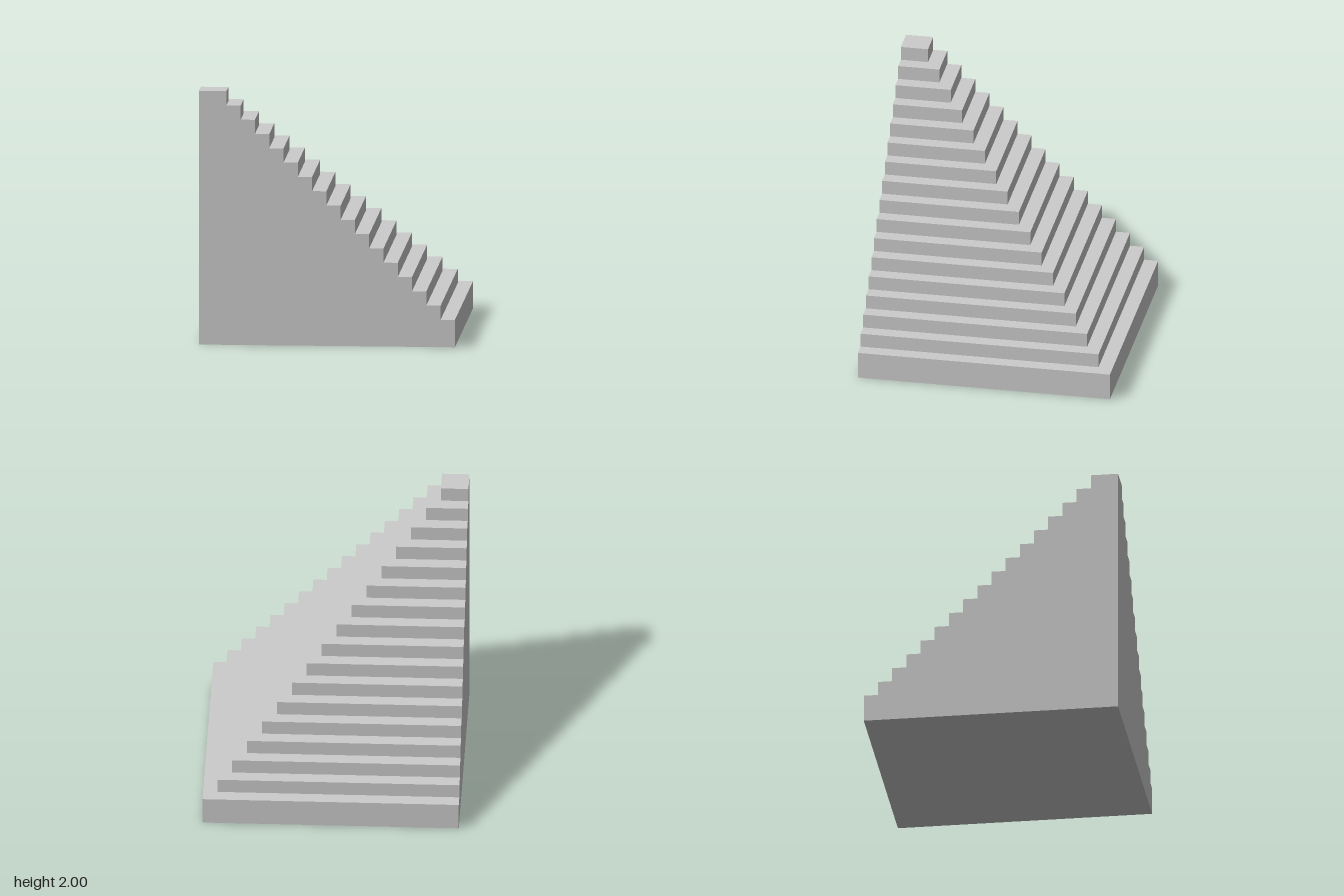
import * as THREE from 'three';

const LEVELS = 17;
const BASE = 0.215; // height of the bottom slab and width of the top block
const STEP = (2 - BASE) / (LEVELS - 1);

export function createModel() {
  const model = new THREE.Group();
  model.name = 'corner stairs';
  const material = new THREE.MeshStandardMaterial({ color: 0xcccccc, flatShading: true });

  // Square slabs stacked flush against the corner at x = -1, z = 1
  for (let i = 0; i < LEVELS; i++) {
    const size = 2 - i * STEP;
    const height = i === 0 ? BASE : STEP;
    const top = BASE + i * STEP;
    const slab = new THREE.Mesh(new THREE.BoxGeometry(size, height, size), material);
    slab.name = i === 0 ? 'baseSlab' : i === LEVELS - 1 ? 'topBlock' : `step${i}`;
    slab.position.set(-1 + size / 2, top - height / 2, 1 - size / 2);
    model.add(slab);
  }
  return model;
}
